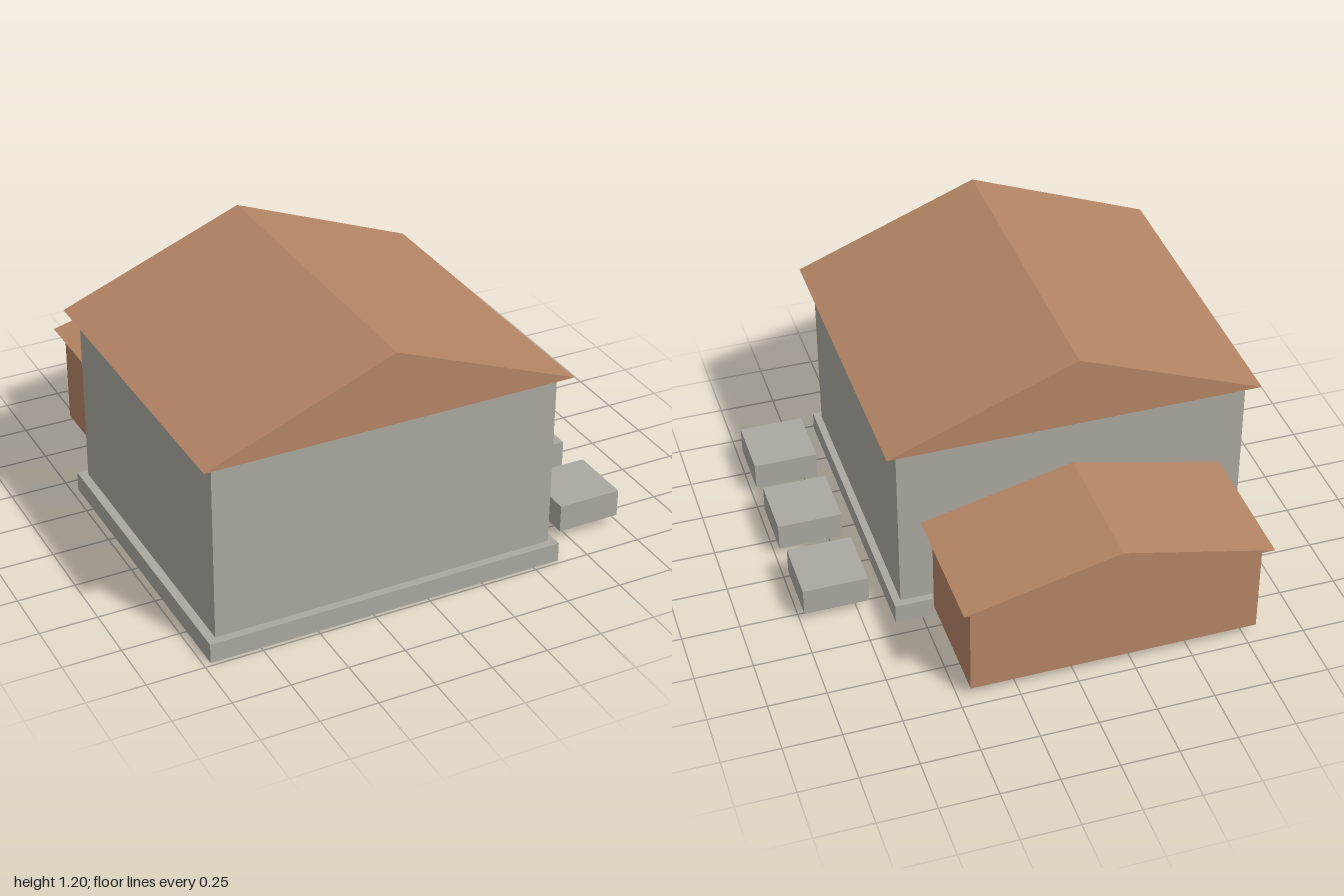
import * as THREE from 'three';

export function createModel() {
  const model = new THREE.Group();
  model.name = 'house';

  const stone = new THREE.MeshStandardMaterial({ color: 0xaaa89f });
  stone.name = 'warm grey stone';
  const clay = new THREE.MeshStandardMaterial({ color: 0xb58565 });
  clay.name = 'clay brown';

  const add = (name, geometry, material) => {
    const mesh = new THREE.Mesh(geometry, material);
    mesh.name = name;
    model.add(mesh);
  };

  // Box given by its limits on each axis
  const block = (name, material, [x0, x1], [y0, y1], [z0, z1]) => {
    const geometry = new THREE.BoxGeometry(x1 - x0, y1 - y0, z1 - z0);
    geometry.translate((x0 + x1) / 2, (y0 + y1) / 2, (z0 + z1) / 2);
    add(name, geometry, material);
  };

  // Solid gable roof with its ridge running along z
  const gableRoof = (name, [x0, x1], [y0, y1], [z0, z1]) => {
    const gable = new THREE.Shape();
    gable.moveTo(x0, y0);
    gable.lineTo(x1, y0);
    gable.lineTo((x0 + x1) / 2, y1);
    gable.closePath();
    const geometry = new THREE.ExtrudeGeometry(gable, { depth: z1 - z0, bevelEnabled: false });
    geometry.translate(0, 0, z0);
    add(name, geometry, clay);
  };

  // Main house
  block('foundation', stone, [-0.97, 0.617], [0, 0.087], [-0.425, 0.983]);
  block('mainWalls', stone, [-0.932, 0.585], [0.087, 0.885], [-0.392, 0.947]);
  gableRoof('mainRoof', [-0.983, 0.634], [0.885, 1.2], [-0.442, 1]);

  // Rear annex, raised slightly off the ground
  block('annexWalls', clay, [-0.8, 0.45], [0.05, 0.487], [-0.955, -0.43]);
  gableRoof('annexRoof', [-0.836, 0.487], [0.487, 0.645], [-1, -0.392]);

  // Row of slabs beside the house
  for (let i = 0; i < 3; i++) {
    const z = 0.718 - i * 0.442;
    block('sideBlock' + (i + 1), stone, [0.7, 0.983], [0.048, 0.17], [z - 0.141, z + 0.141]);
  }

  return model;
}
